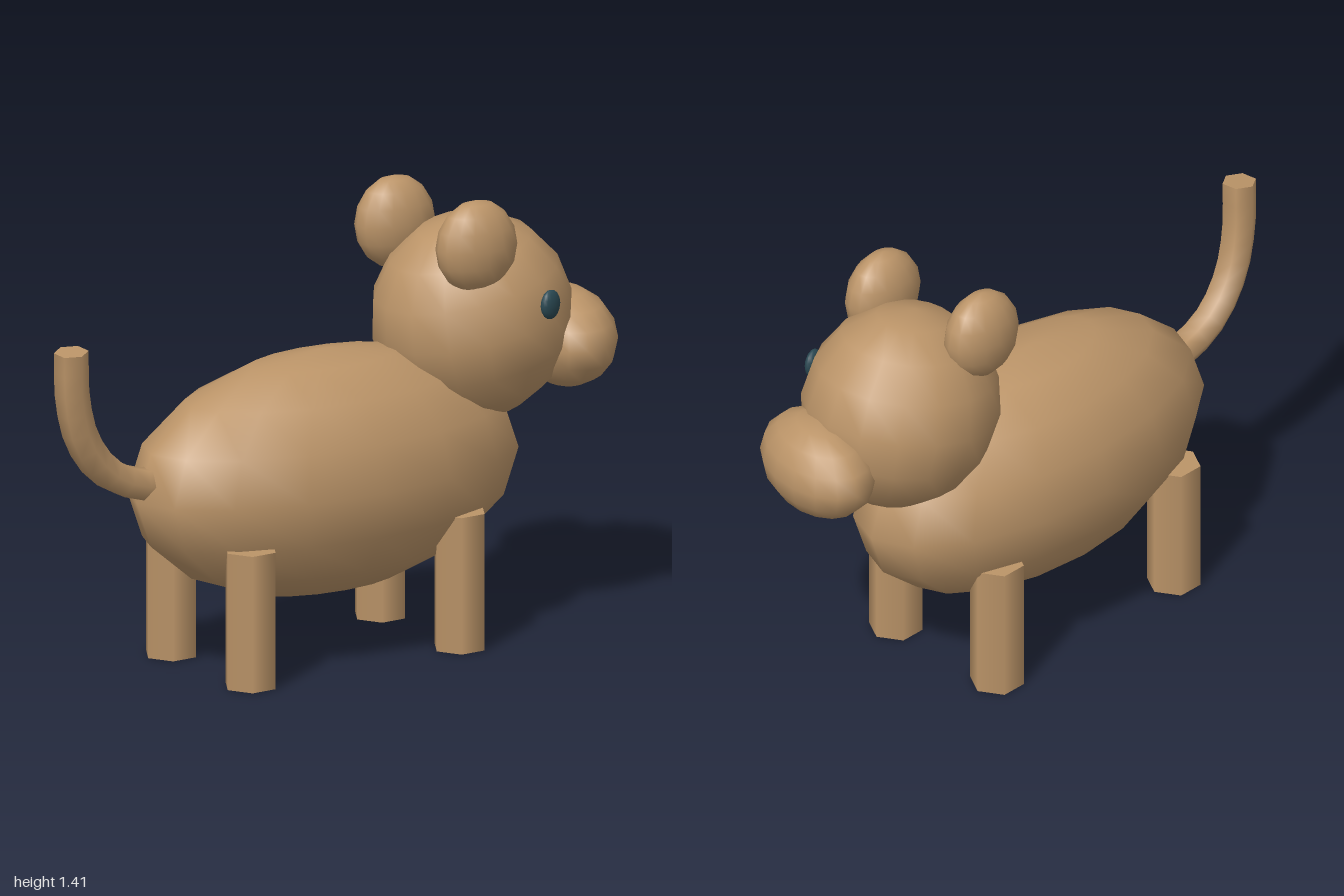
import * as THREE from 'three';

export function createModel() {
  const model = new THREE.Group();
  model.name = 'animal';
  const fur = new THREE.MeshStandardMaterial({ color: 0xbb9468 });
  fur.name = 'tan fur';
  const eyeColor = new THREE.MeshStandardMaterial({ color: 0x2a4852 });
  eyeColor.name = 'dark teal';

  function add(name, geometry, material, position = [0, 0, 0]) {
    const mesh = new THREE.Mesh(geometry, material);
    mesh.name = name;
    mesh.position.set(...position);
    model.add(mesh);
    return mesh;
  }

  // Low-poly ellipsoid with smooth normals
  function ellipsoid(name, position, radii, rotation = [0, 0, 0], material = fur) {
    const mesh = add(name, new THREE.SphereGeometry(1, 16, 8), material, position);
    mesh.scale.set(...radii);
    mesh.rotation.set(...rotation);
    return mesh;
  }

  // Body and head, facing +x
  ellipsoid('body', [0, 0.575, 0], [0.69, 0.385, 0.34]);
  ellipsoid('head', [0.538, 0.99, 0.022], [0.323, 0.324, 0.297], [0, 0, 0.2]);
  ellipsoid('muzzle', [0.84, 0.89, 0.08], [0.157, 0.155, 0.23], [0, -0.25, 0]);

  // Ears, and the single eye on the +z side
  ellipsoid('nearEar', [0.43, 1.265, 0.205], [0.137, 0.147, 0.087], [0, -0.06, 0]);
  ellipsoid('farEar', [0.383, 1.265, -0.172], [0.135, 0.147, 0.087], [0, -0.06, 0]);
  ellipsoid('eye', [0.645, 1.065, 0.293], [0.04, 0.047, 0.02], [0, 0.25, 0], eyeColor);

  // Four hexagonal legs
  for (const [end, x] of [['front', 0.36], ['back', -0.415]]) {
    for (const [side, z] of [['Near', 0.217], ['Far', -0.217]]) {
      const leg = new THREE.CylinderGeometry(0.085, 0.085, 0.435, 6, 1, false, Math.PI / 2);
      add(`${end}${side}Leg`, leg, fur, [x, 0.2175, z]);
    }
  }

  // Tail: hexagonal tube curving upward
  const path = new THREE.CatmullRomCurve3([
    [-0.6, 0.625, -0.005], [-0.7, 0.64, -0.005], [-0.81, 0.7, -0.003],
    [-0.895, 0.81, 0.005], [-0.938, 0.95, 0.015], [-0.95, 1.105, 0.025],
  ].map((p) => new THREE.Vector3(...p)));
  const steps = 10, sides = 6;
  const tube = new THREE.TubeGeometry(path, steps, 0.054, sides, false);
  add('tail', tube, fur);

  // Flat cap closing the tail tip
  const tip = path.getPoint(1);
  const tangent = path.getTangent(1);
  const ring = [];
  for (let i = 0; i <= sides; i++) {
    ring.push(new THREE.Vector3().fromBufferAttribute(tube.attributes.position, steps * (sides + 1) + i));
  }
  const points = [];
  for (let i = 0; i < sides; i++) {
    let [a, b] = [ring[i], ring[i + 1]];
    const normal = a.clone().sub(tip).cross(b.clone().sub(tip));
    if (normal.dot(tangent) < 0) [a, b] = [b, a];
    points.push(tip, a, b);
  }
  const cap = new THREE.BufferGeometry().setFromPoints(points);
  cap.computeVertexNormals();
  add('tailTip', cap, fur);

  return model;
}
